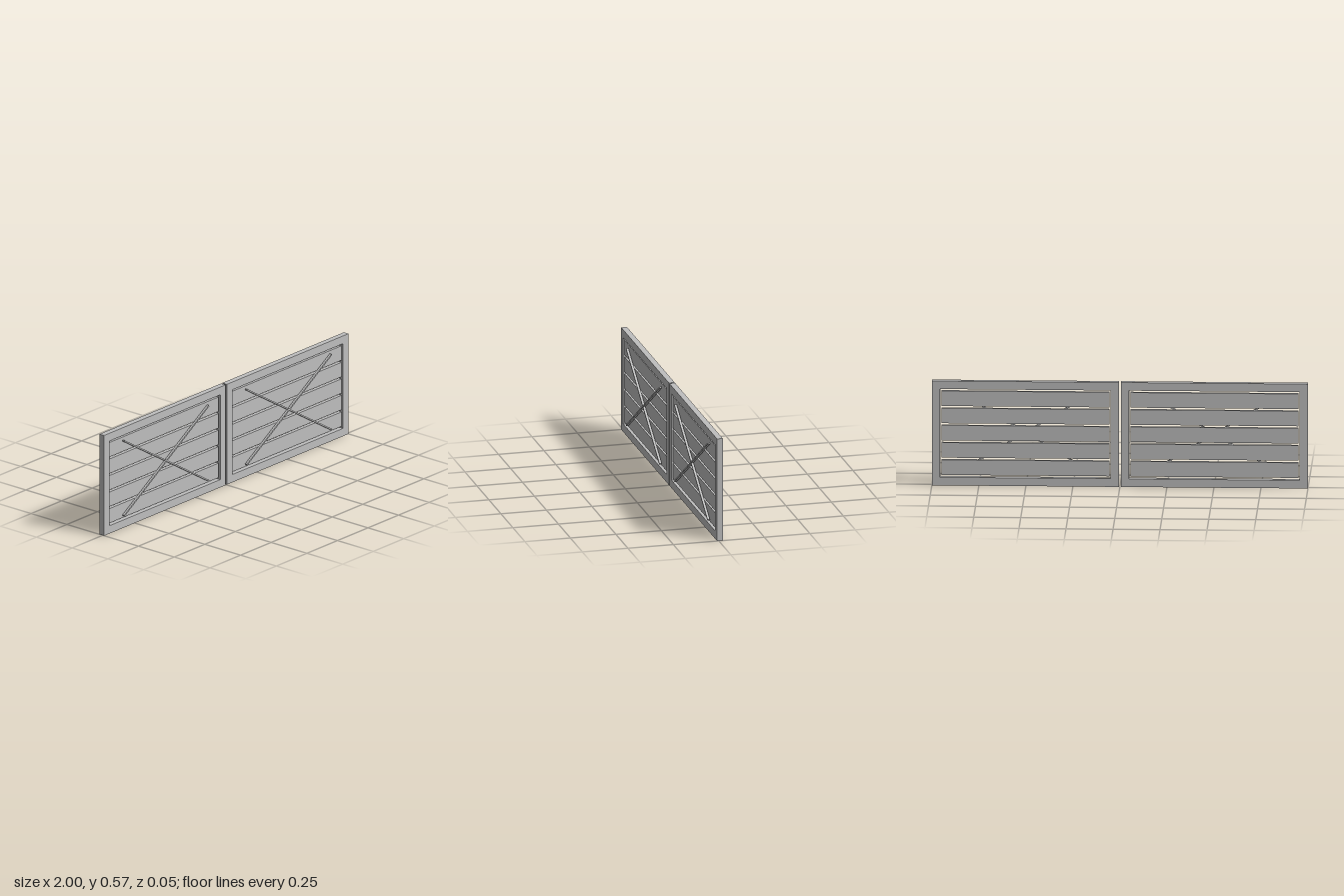
import * as THREE from 'three';

const HEIGHT = 0.57;
const FRAME = 0.044;          // width of posts and rails
const INNER = 0.005, OUTER = 1; // x range of one leaf
const FRAME_Z = -0.006, FRAME_DEPTH = 0.032;

const metal = new THREE.MeshStandardMaterial({ color: 0xbfbfbf });
metal.name = 'grey metal';

function addBox(parent, name, size, position) {
  const mesh = new THREE.Mesh(new THREE.BoxGeometry(...size), metal);
  mesh.name = name;
  mesh.position.set(...position);
  parent.add(mesh);
  return mesh;
}

// One gate leaf; side is +1 for the left leaf and -1 for the right leaf
function createLeaf(side) {
  const leaf = new THREE.Group();
  leaf.name = side > 0 ? 'leftLeaf' : 'rightLeaf';
  const midX = side * (INNER + OUTER) / 2;
  const width = OUTER - INNER;

  // Full height posts
  for (const [name, x] of [['hingePost', OUTER - FRAME / 2], ['meetingPost', INNER + FRAME / 2]]) {
    addBox(leaf, name, [FRAME, HEIGHT, FRAME_DEPTH], [side * x, HEIGHT / 2, FRAME_Z]);
  }

  // Rails between the posts
  for (const [name, y] of [['bottomRail', FRAME / 2], ['topRail', HEIGHT - FRAME / 2]]) {
    addBox(leaf, name, [width - 2 * FRAME, FRAME, FRAME_DEPTH], [midX, y, FRAME_Z]);
  }

  // Five horizontal slats with open gaps around them
  for (let i = -2; i <= 2; i++) {
    addBox(leaf, 'slat', [width - 2 * FRAME - 0.012, 0.082, 0.02],
      [midX, HEIGHT / 2 + i * 0.094, FRAME_Z]);
  }

  // Crossed braces on the front
  for (const tilt of [-1, 1]) {
    const brace = addBox(leaf, 'crossBrace', [0.814, 0.0078, 0.013], [midX, HEIGHT / 2, 0.0165]);
    brace.rotation.z = tilt * THREE.MathUtils.degToRad(31.6);
  }
  return leaf;
}

export function createModel() {
  const gate = new THREE.Group();
  gate.name = 'doubleGate';
  gate.add(createLeaf(-1), createLeaf(1));
  return gate;
}
